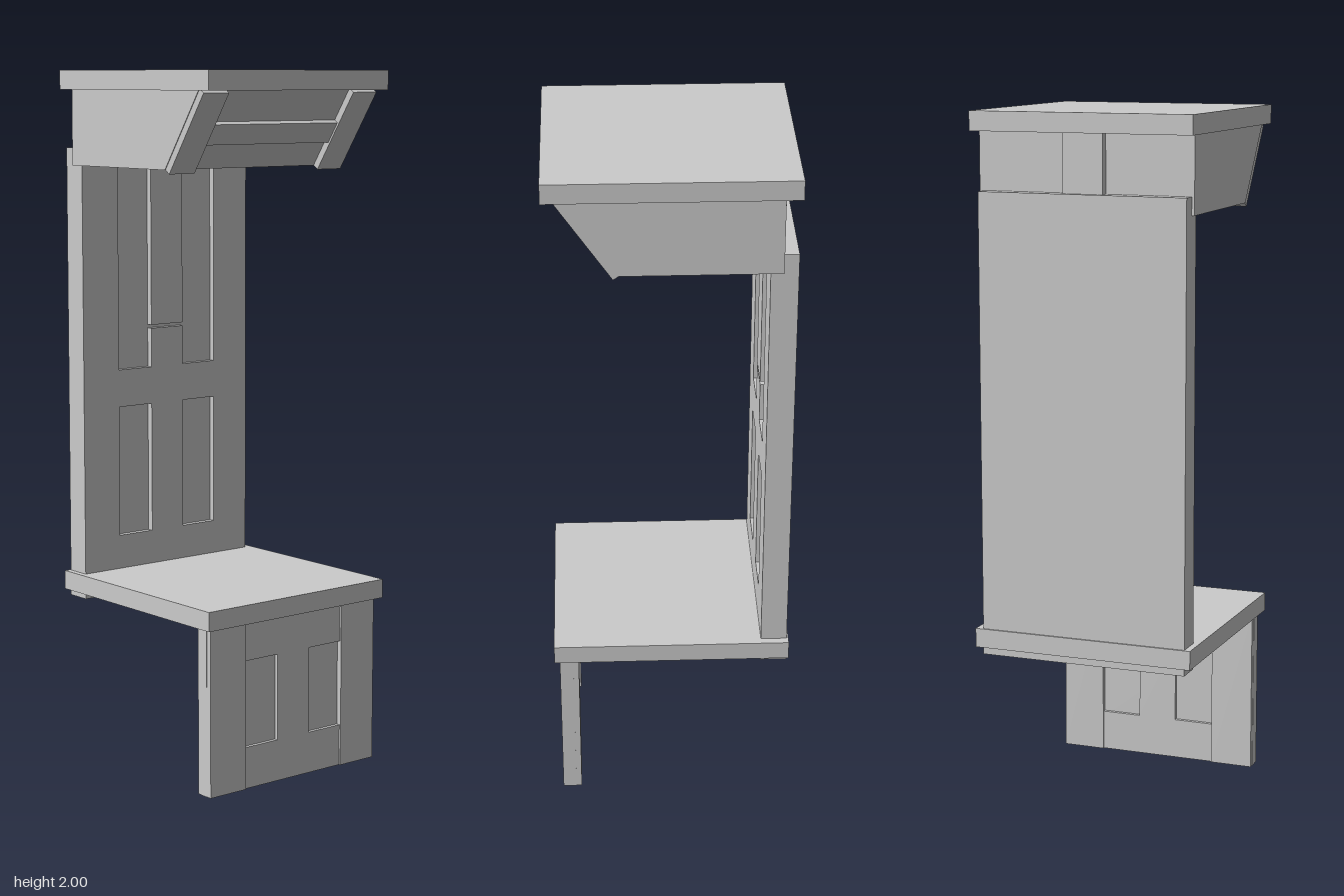
import * as THREE from 'three';

const material = new THREE.MeshStandardMaterial({ color: 0xcccccc, flatShading: true });

// Box given by its min and max on each axis
function slab(parent, name, [x0, x1], [y0, y1], [z0, z1]) {
  const mesh = new THREE.Mesh(new THREE.BoxGeometry(x1 - x0, y1 - y0, z1 - z0), material);
  mesh.position.set((x0 + x1) / 2, (y0 + y1) / 2, (z0 + z1) / 2);
  mesh.name = name;
  parent.add(mesh);
  return mesh;
}

function group(parent, name) {
  const g = new THREE.Group();
  g.name = name;
  parent.add(g);
  return g;
}

const MIDDLE = [-0.057, 0.06];
const INNER = [-0.177, 0.18];
const STILES = [[-0.303, INNER[0]], [INNER[1], 0.307]];

export function createModel() {
  const model = new THREE.Group();
  model.name = 'panelledCounter';

  // Counter top and roof board
  slab(model, 'counterTop', [-0.34, 0.34], [0.48, 0.535], [-0.325, 0.325]);
  slab(model, 'roofBoard', [-0.34, 0.34], [1.945, 2], [-0.325, 0.325]);

  // Tall back panel with raised boards on its inner face
  const back = group(model, 'backPanel');
  const backFace = [-0.278, -0.26];
  slab(back, 'backBoard', [-0.335, -0.278], [0.46, 1.78], [-0.303, 0.307]);
  for (const z of STILES) slab(back, 'backStile', backFace, [0.46, 1.78], z);
  slab(back, 'backBottomRail', backFace, [0.5, 0.635], INNER);
  slab(back, 'backMiddleRail', backFace, [1.02, 1.13], INNER);
  slab(back, 'backLowerMullion', backFace, [0.635, 1.02], MIDDLE);
  slab(back, 'backMiddleMullion', backFace, [1.13, 1.245], MIDDLE);
  slab(back, 'backUpperMullion', backFace, [1.255, 1.78], MIDDLE);

  // Low front panel, framed on both faces
  const front = group(model, 'frontPanel');
  slab(front, 'frontBoard', [0.286, 0.309], [0, 0.485], [-0.305, 0.308]);
  for (const side of [-1, 1]) {
    const layer = (depth) => side > 0 ? [0.309, 0.309 + depth] : [0.286 - depth, 0.286];
    for (const z of STILES) slab(front, 'frontStile', layer(0.016), [0, 0.485], z);
    slab(front, 'frontBottomRail', layer(0.011), [0, 0.12], INNER);
    slab(front, 'frontTopRail', layer(0.011), [0.37, 0.485], INNER);
    slab(front, 'frontMullion', layer(0.011), [0.12, 0.37], MIDDLE);
  }

  // Hood: a sloped-front block under the roof board
  const hood = group(model, 'hood');
  const profile = new THREE.Shape([[-0.295, 1.73], [0.138, 1.73], [0.285, 1.945], [-0.295, 1.945]]
    .map(([x, y]) => new THREE.Vector2(x, y)));
  const bodyGeometry = new THREE.ExtrudeGeometry(profile, { depth: 0.63, bevelEnabled: false });
  bodyGeometry.translate(0, 0, -0.315);
  const body = new THREE.Mesh(bodyGeometry, material);
  body.name = 'hoodBody';
  hood.add(body);
  slab(hood, 'hoodBackMullion', [-0.32, -0.295], [1.74, 1.945], MIDDLE);

  // Raised boards lying on the slope
  const slope = group(hood, 'hoodSlopeFrame');
  slope.position.set(0.138, 1.73, 0);
  slope.rotation.z = -Math.atan2(0.147, 0.215);
  for (const z of [[-0.313, -0.225], [0.225, 0.313]]) slab(slope, 'slopeStile', [0, 0.02], [0, 0.266], z);
  slab(slope, 'slopeMiddleRail', [0, 0.014], [0.09, 0.158], [-0.225, 0.225]);

  return model;
}
